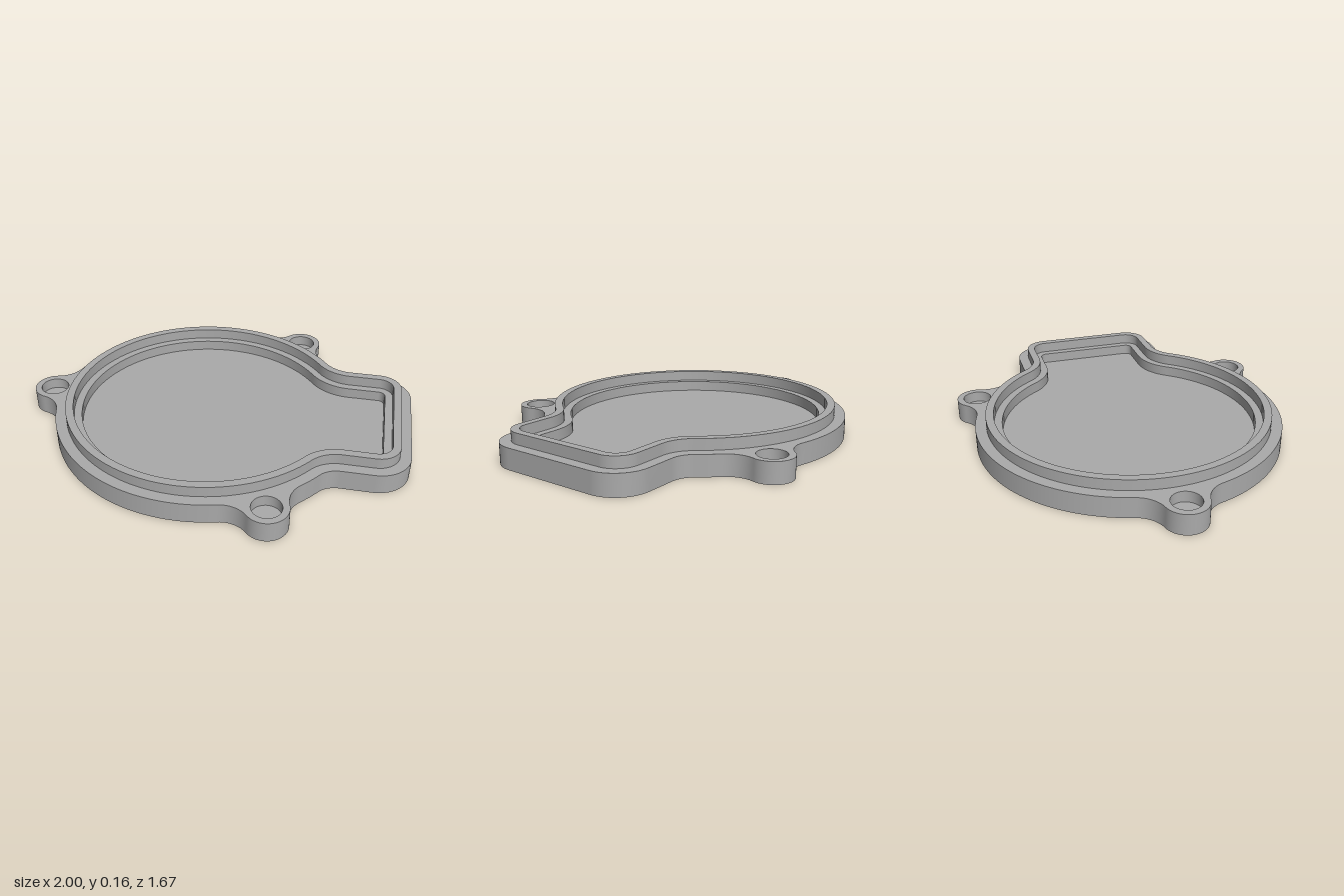
import * as THREE from 'three';

const CX = -0.053;               // centre of the round body
const LUG_DIST = 0.842, LUG_R = 0.105, HOLE_R = 0.072, LUG_FILLET = 0.14;
const Y = { floor: 0.05, flange: 0.105, rim: 0.16 };
const V = (x, y) => new THREE.Vector2(x, y);
const polar = (c, r, a) => V(c.x + r * Math.cos(a), c.y + r * Math.sin(a));
const BODY = V(CX, 0);

function arc(c, r, a0, a1, n) {
  return Array.from({ length: n + 1 }, (_, i) => polar(c, r, a0 + (a1 - a0) * i / n));
}

// Mounting ear with a concave fillet on each side, swept counter-clockwise
function lug(theta, R, phi) {
  const centre = polar(BODY, LUG_DIST, theta);
  const f1 = polar(BODY, R + LUG_FILLET, theta - phi);
  const f2 = polar(BODY, R + LUG_FILLET, theta + phi);
  const start = theta - phi + Math.PI;
  let end = Math.atan2(centre.y - f1.y, centre.x - f1.x);
  while (end > start) end -= 2 * Math.PI;
  while (end < start - 2 * Math.PI) end += 2 * Math.PI;
  return [
    ...arc(f1, LUG_FILLET, start, end, 12),
    ...arc(centre, LUG_R, end - Math.PI, 2 * theta - end + Math.PI, 32),
    ...arc(f2, LUG_FILLET, 2 * theta - end, 2 * theta - start, 12),
  ];
}

// Round body merged with a rounded box on +x, inset by a given distance
function contour(inset, withLugs) {
  const R = 0.785 - inset, X = 1 - inset, Z = 0.42 - inset;
  const corner = 0.17 - inset, fillet = 0.12 + inset;
  const fc = V(CX + Math.sqrt((R + fillet) ** 2 - (Z + fillet) ** 2), Z + fillet);
  const t = Math.atan2(fc.y, fc.x - CX);
  const half = [
    ...arc(V(X - corner, Z - corner), corner, 0, Math.PI / 2, 14),
    ...arc(fc, fillet, -Math.PI / 2, t - Math.PI, 14),
  ];
  if (withLugs) {
    const a = R + LUG_FILLET, b = LUG_R + LUG_FILLET;
    const phi = Math.acos((a * a + LUG_DIST ** 2 - b * b) / (2 * a * LUG_DIST));
    const t1 = Math.PI / 3;
    half.push(...arc(BODY, R, t, t1 - phi, 8), ...lug(t1, R, phi));
    half.push(...arc(BODY, R, t1 + phi, Math.PI - phi, 48));
    half.push(...lug(Math.PI, R, phi).filter(p => p.y > -1e-7));
  } else {
    half.push(...arc(BODY, R, t, Math.PI, 72));
  }
  const mirrored = half.filter(p => p.y > 1e-6).reverse().map(p => V(p.x, -p.y));
  const all = [...half, ...mirrored];
  return all.filter((p, i) => p.distanceTo(all[(i + all.length - 1) % all.length]) > 1e-6);
}

// Flat horizontal face with optional openings
function cap(points, holes, y, up = true) {
  const shape = new THREE.Shape(points);
  shape.holes = holes.map(h => new THREE.Path(h));
  const g = new THREE.ShapeGeometry(shape);
  g.rotateX(up ? -Math.PI / 2 : Math.PI / 2);
  return g.translate(0, y, 0);
}

// Smooth vertical wall along a closed contour
function wall(points, y0, y1, outward = true) {
  const pos = [], idx = [], n = points.length;
  points.forEach((p, i) => {
    pos.push(p.x, y0, -p.y, p.x, y1, -p.y);
    const a = 2 * i, b = 2 * ((i + 1) % n);
    if (outward) idx.push(a, b, b + 1, a, b + 1, a + 1);
    else idx.push(a, b + 1, b, a, a + 1, b + 1);
  });
  const g = new THREE.BufferGeometry();
  g.setAttribute('position', new THREE.Float32BufferAttribute(pos, 3));
  g.setIndex(idx);
  g.computeVertexNormals();
  return g;
}

export function createModel() {
  const model = new THREE.Group();
  model.name = 'housingCover';
  const metal = new THREE.MeshStandardMaterial({ color: 0xaaaaaa });
  metal.name = 'plain grey';
  const add = (name, geometry) => {
    const mesh = new THREE.Mesh(geometry, metal);
    mesh.name = name;
    model.add(mesh);
  };

  const outline = contour(0, true);
  const rimOuter = contour(0.055, false);
  const rimInner = contour(0.095, false);
  const pocket = contour(0.135, false);
  const holes = [1, 3, 5].map(k =>
    arc(polar(BODY, LUG_DIST, k * Math.PI / 3), HOLE_R, 0, 2 * Math.PI, 40).slice(0, -1));

  // Flange plate
  add('underside', cap(outline, [], 0, false));
  add('flangeEdge', wall(outline, 0, Y.flange));
  add('flangeTop', cap(outline, [rimOuter, ...holes], Y.flange));

  // Raised rim
  add('rimOuterWall', wall(rimOuter, Y.flange, Y.rim));
  add('rimTop', cap(rimOuter, [rimInner], Y.rim));
  add('rimInnerWall', wall(rimInner, Y.flange, Y.rim, false));

  // Stepped recess
  add('innerLedge', cap(rimInner, [pocket], Y.flange));
  add('pocketWall', wall(pocket, Y.floor, Y.flange, false));
  add('pocketFloor', cap(pocket, [], Y.floor));

  // Blind mounting holes
  holes.forEach(h => {
    add('mountingHoleWall', wall(h, Y.floor, Y.flange, false));
    add('mountingHoleFloor', cap(h, [], Y.floor));
  });
  return model;
}
